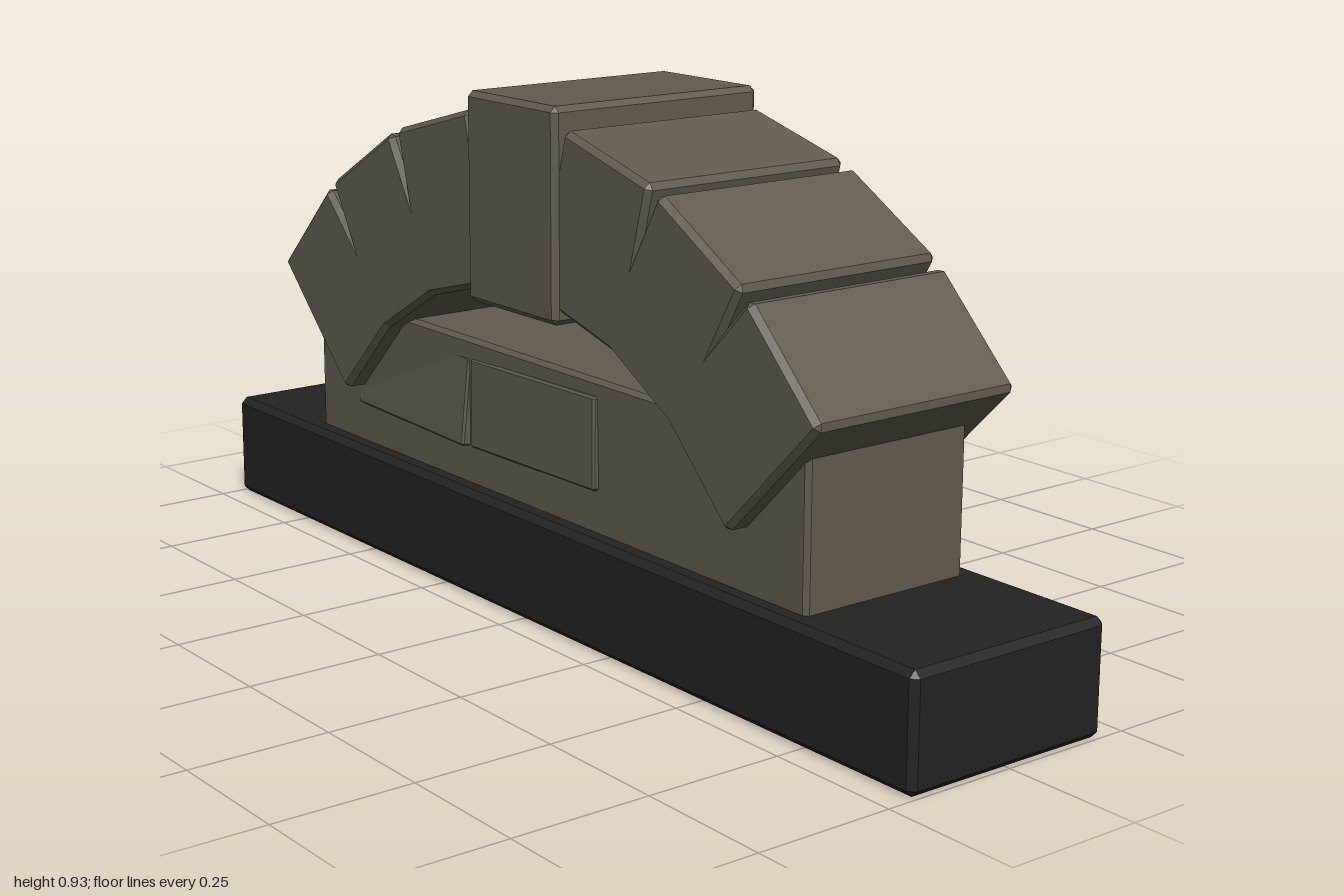
import * as THREE from 'three';
import { ConvexGeometry } from 'three/addons/geometries/ConvexGeometry.js';

// Box with flat chamfered edges, centred on its origin
function chamferBox(w, h, d, c) {
  const points = [];
  for (const sx of [-1, 1]) for (const sy of [-1, 1]) for (const sz of [-1, 1]) {
    const x = w / 2, y = h / 2, z = d / 2;
    points.push(
      new THREE.Vector3(sx * x, sy * (y - c), sz * (z - c)),
      new THREE.Vector3(sx * (x - c), sy * y, sz * (z - c)),
      new THREE.Vector3(sx * (x - c), sy * (y - c), sz * z),
    );
  }
  return new ConvexGeometry(points);
}

export function createModel() {
  const model = new THREE.Group();
  model.name = 'stoneArch';
  const stone = new THREE.MeshStandardMaterial({ color: 0x625b4e });
  stone.name = 'stone';
  const dark = new THREE.MeshStandardMaterial({ color: 0x232323 });
  dark.name = 'darkBase';

  function add(name, geometry, material, position, rotation = [0, 0, 0]) {
    const mesh = new THREE.Mesh(geometry, material);
    mesh.name = name;
    mesh.position.set(...position);
    mesh.rotation.set(...rotation);
    model.add(mesh);
  }

  // Plinth and the low wall standing on it
  add('plinth', chamferBox(2, 0.2, 0.41, 0.012), dark, [0, 0.1, 0]);
  add('wall', chamferBox(1.44, 0.28, 0.34, 0.008), stone, [0, 0.33, 0]);

  // Arch blocks fanned along a circle, three on each side
  const radius = 0.84, centreY = -0.097;
  const block = chamferBox(0.24, 0.308, 0.42, 0.01);
  for (const side of [-1, 1]) {
    for (let i = 1; i <= 3; i++) {
      const a = side * i * Math.PI / 12;
      add('archBlock', block, stone,
        [radius * Math.sin(a), centreY + radius * Math.cos(a), 0], [0, 0, -a]);
    }
  }

  // Taller keystone at the crown
  add('keystone', chamferBox(0.262, 0.372, 0.44, 0.01), stone, [0, 0.744, 0]);

  // Slightly tilted facing stones set into the wall
  const facing = chamferBox(0.38, 0.165, 0.06, 0.004);
  add('frontFacingStone', facing, stone, [-0.39, 0.35, 0.142], [-0.1, -0.04, -0.01]);
  add('frontFacingStone', facing, stone, [-0.005, 0.354, 0.147], [-0.02, -0.015, 0.02]);
  add('backFacingStone', facing, stone, [0.39, 0.35, -0.14], [0.1, 0.02, 0]);
  add('backFacingStone', facing, stone, [0.005, 0.35, -0.139], [0.03, 0.05, 0]);
  add('backFacingStone', facing, stone, [-0.39, 0.35, -0.139], [0.04, 0.05, 0]);

  return model;
}
